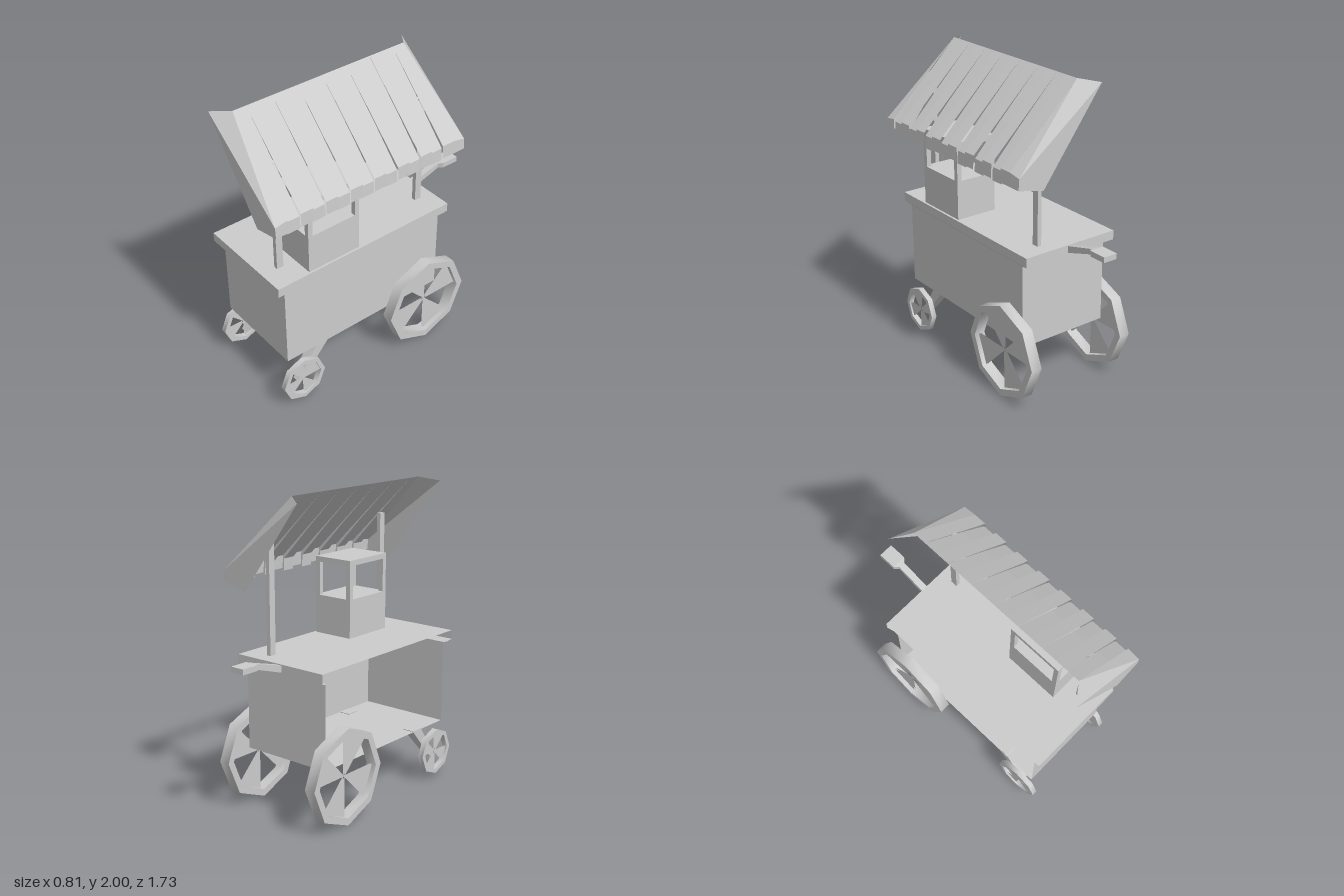
import * as THREE from 'three';
import { toCreasedNormals } from 'three/addons/utils/BufferGeometryUtils.js';

const material = new THREE.MeshStandardMaterial({ color: 0xcccccc });
const sheet = new THREE.MeshStandardMaterial({ color: 0xcccccc, side: THREE.DoubleSide });
const CX = -0.015; // centre plane of the cart body

function mesh(name, geometry, mat = material) {
  const m = new THREE.Mesh(geometry, mat);
  m.name = name;
  return m;
}

// Flat-shaded geometry from convex faces, each a loop of [x, y, z]
function faceted(faces) {
  const pos = [];
  for (const f of faces)
    for (let i = 1; i < f.length - 1; i++) pos.push(...f[0], ...f[i], ...f[i + 1]);
  const g = new THREE.BufferGeometry();
  g.setAttribute('position', new THREE.Float32BufferAttribute(pos, 3));
  g.computeVertexNormals();
  return g;
}

// Faces joining successive sections
function loftFaces(sections, closed) {
  const faces = [];
  const n = sections[0].length;
  for (let s = 0; s < sections.length - 1; s++)
    for (let i = 0; i < (closed ? n : n - 1); i++) {
      const j = (i + 1) % n, a = sections[s], b = sections[s + 1];
      faces.push([a[i], a[j], b[j], b[i]]);
    }
  return faces;
}

function solidLoft(sections) {
  const last = sections[sections.length - 1];
  return faceted([...loftFaces(sections, true), [...sections[0]].reverse(), last]);
}

function box(name, x0, x1, y0, y1, z0, z1) {
  const m = mesh(name, new THREE.BoxGeometry(x1 - x0, y1 - y0, z1 - z0));
  m.position.set((x0 + x1) / 2, (y0 + y1) / 2, (z0 + z1) / 2);
  return m;
}

// Horizontal rectangle as a loop starting at the front of the -x side
const rect = (x0, x1, y, z0, z1) => [[x0, y, z1], [x1, y, z1], [x1, y, z0], [x0, y, z0]];

// Hollow body with bevelled counter, open on the -x side
function cartBody() {
  const floor = rect(-0.33, 0.3, 0.375, -0.455, 0.755);
  const top = rect(-0.36, 0.32, 1.0, -0.515, 0.81);
  const levels = [
    floor,
    rect(-0.33, 0.3, 0.925, -0.455, 0.755),
    rect(-0.345, 0.305, 0.925, -0.47, 0.775),
    rect(-0.36, 0.32, 0.94, -0.515, 0.81),
    top,
  ];
  return mesh('body', faceted([...loftFaces(levels, false), [...floor].reverse(), top]), sheet);
}

// Eight-sided wheel with a deep rim and alternating filled sectors
function wheel(name, x, y, z, radius, inner, width) {
  const g = new THREE.Group();
  g.name = name;
  const h = width / 2;
  const profile = [[inner, -h], [radius, -h], [radius, h], [inner, h], [inner, -h]]
    .map(([a, b]) => new THREE.Vector2(a, b));
  const rim = toCreasedNormals(new THREE.LatheGeometry(profile, 8), 0.9);
  g.add(mesh('rim', rim.rotateZ(Math.PI / 2), sheet));
  for (let k = 0; k < 4; k++) {
    const sector = new THREE.CylinderGeometry(inner, inner, 0.012, 1, 1, false,
      Math.PI / 4 + k * Math.PI / 2, Math.PI / 4);
    g.add(mesh('spokeSector', sector.rotateZ(Math.PI / 2), sheet));
  }
  g.position.set(x, y, z);
  return g;
}

// Display case: solid base, four corner posts and a lid
function displayCase() {
  const g = new THREE.Group();
  g.name = 'displayCase';
  const [x0, x1, z0, z1, t] = [0.02, 0.305, 0.2, 0.575, 0.032];
  g.add(box('caseBase', x0, x1, 1.0, 1.255, z0, z1));
  g.add(box('caseLid', x0, x1, 1.475, 1.51, z0, z1));
  for (const x of [x0, x1 - t])
    for (const z of [z0, z1 - t]) g.add(box('casePost', x, x + t, 1.255, 1.475, z, z + t));
  return g;
}

// Sloping awning: strips of alternating height with a valance, and end flaps
function awning() {
  const g = new THREE.Group();
  g.name = 'awning';
  const zBack = -0.46, zFront = 0.775, count = 14;
  const raised = [[-0.085, 2.0], [0.2, 1.724], [0.395, 1.535], [0.4, 1.45]];
  const lowered = [[-0.085, 2.0], [0.2, 1.712], [0.385, 1.515], [0.39, 1.435]];
  const step = (zFront - zBack) / count;
  for (let i = 0; i < count; i++) {
    const z = zBack + i * step;
    const sections = (i % 2 ? lowered : raised).map(([x, y]) => [[x, y, z], [x, y, z + step]]);
    g.add(mesh('awningStrip', faceted(loftFaces(sections, false)), sheet));
  }
  for (const [zi, zo] of [[zFront, 0.86], [zBack, -0.545]]) {
    const a = [-0.085, 2.0, zi], b = [0.395, 1.535, zi];
    const e = [-0.2, 1.975, zo], d = [0.22, 1.41, zo];
    const c = [0.4, 1.45, zo], f = [0.395, 1.52, zo], v = [0.4, 1.45, zi];
    const faces = [[a, e, f], [a, f, b], [e, d, c, f], [b, f, c, v]];
    if (zo < 0) faces.forEach((face) => face.reverse());
    g.add(mesh('endFlap', faceted(faces), sheet));
  }
  return g;
}

// Bent push handle with a wide grip
function handle() {
  const stations = [
    [-0.5, 0.945, 0.99, 0.022],
    [-0.72, 1.015, 1.05, 0.022],
    [-0.745, 1.02, 1.055, 0.048],
    [-0.865, 1.02, 1.055, 0.048],
  ];
  const x = -0.018;
  return mesh('handle', solidLoft(stations.map(([z, lo, hi, w]) =>
    [[x + w, lo, z], [x - w, lo, z], [x - w, hi, z], [x + w, hi, z]])));
}

export function createModel() {
  const cart = new THREE.Group();
  cart.name = 'vendingCart';
  cart.add(cartBody(), displayCase(), awning(), handle());

  // Awning posts
  for (const z of [0.683, -0.4]) cart.add(box('awningPost', 0.136, 0.164, 1.0, 1.75, z - 0.023, z + 0.023));

  // Wheels and slanted front legs on both sides
  for (const s of [-1, 1]) {
    cart.add(wheel('rearWheel', CX + s * 0.353, 0.318, -0.328, 0.315, 0.268, 0.075));
    cart.add(wheel('frontWheel', CX + s * 0.333, 0.187, 0.655, 0.157, 0.127, 0.036));
    const xs = (a, b) => [CX + s * a, CX + s * b].sort((p, q) => p - q);
    cart.add(mesh('frontLeg', solidLoft([
      rect(...xs(0.265, 0.31), 0.15, 0.635, 0.685),
      rect(...xs(0.232, 0.312), 0.38, 0.435, 0.525),
    ])));
  }
  return cart;
}
